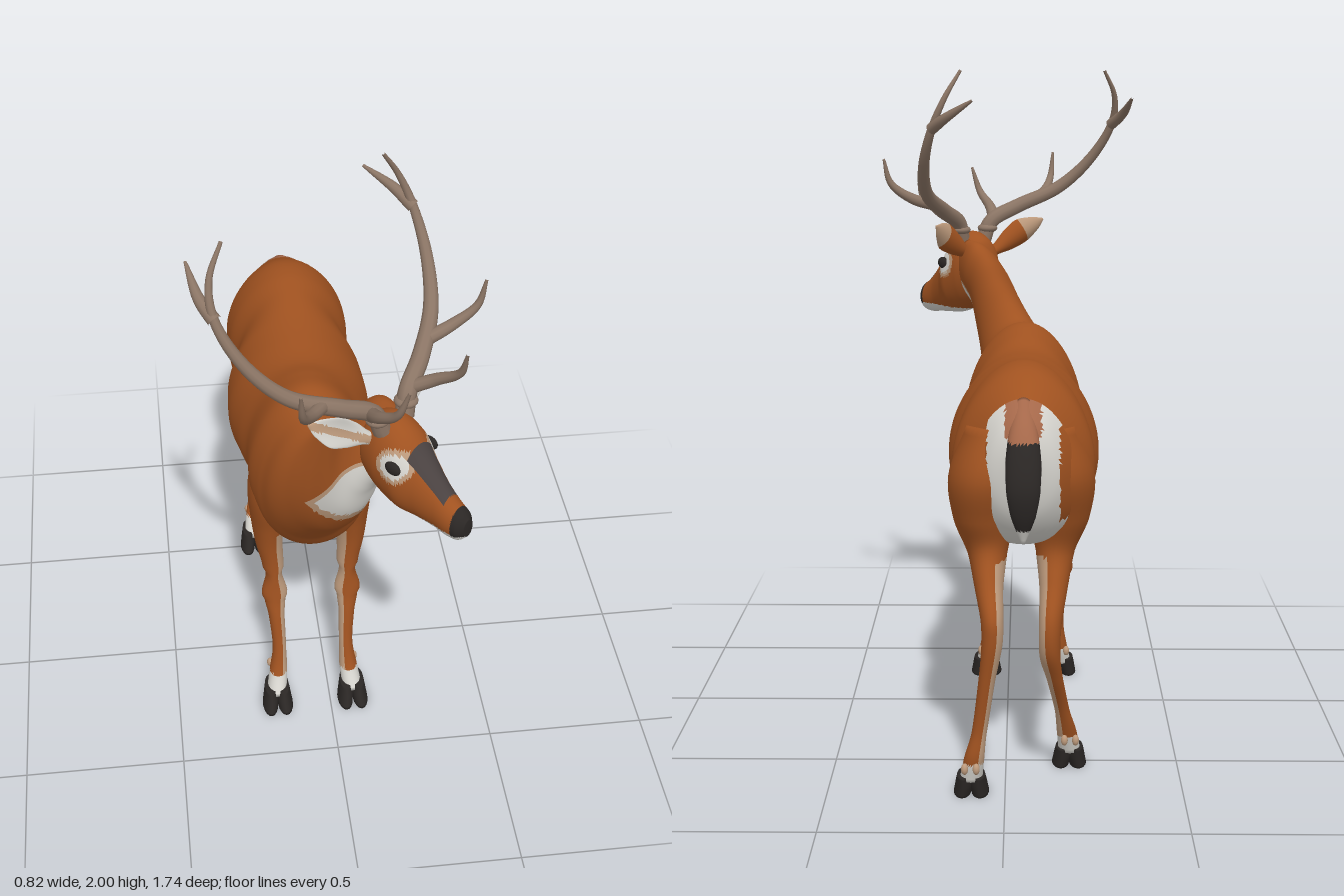
import * as THREE from 'three';

const flat = (name, color) => {
  const m = new THREE.MeshStandardMaterial({ color });
  m.name = name;
  return m;
};
const coat = flat('coat', 0xa05220), white = flat('white fur', 0xd6d4ce), black = flat('black', 0x2b2725),
  antler = flat('antler', 0x8b7565), tan = flat('tan fur', 0xbd9a7c), rosy = flat('rump fur', 0xa5684a),
  dark = flat('dark face', 0x4a4241);

const MID = -0.05; // the trunk's centre line in x

// Skin over elliptical sections [x, topZ, topY, bottomZ, bottomY, halfWidth, yaw].
// paint(x, y, z, side, up) picks the material of each small face.
function loft(name, rows, paint, { steps = 60, sides = 32, pear = 0 } = {}) {
  const curve = f => new THREE.CatmullRomCurve3(rows.map(f));
  const tops = curve(r => new THREE.Vector3(r[0], r[2], r[1]));
  const bottoms = curve(r => new THREE.Vector3(r[0], r[4], r[3]));
  const widths = curve(r => new THREE.Vector3(r[5], r[6] || 0, 0));
  const pos = [], buckets = new Map();
  const add = (a, b, c, side, up) => {
    const mid = k => (pos[a * 3 + k] + pos[b * 3 + k] + pos[c * 3 + k]) / 3;
    const m = paint.isMaterial ? paint : paint(mid(0), mid(1), mid(2), side, up);
    if (!buckets.has(m)) buckets.set(m, []);
    buckets.get(m).push(a, b, c);
  };
  for (let i = 0; i <= steps; i++) {
    const t = i / steps, top = tops.getPoint(t), bot = bottoms.getPoint(t), w = widths.getPoint(t);
    const c = top.clone().add(bot).multiplyScalar(0.5), v = top.clone().sub(c);
    for (let j = 0; j < sides; j++) {
      const a = j / sides * Math.PI * 2, s = w.x * Math.sin(a) * (1 - pear * Math.cos(a)), k = Math.cos(a);
      pos.push(c.x + v.x * k + s * Math.cos(w.y), c.y + v.y * k, c.z + v.z * k - s * Math.sin(w.y));
    }
  }
  const ends = [0, steps].map(i => {
    const r = rows[i ? rows.length - 1 : 0];
    pos.push(r[0], (r[2] + r[4]) / 2, (r[1] + r[3]) / 2);
    return pos.length / 3 - 1;
  });
  for (let j = 0; j < sides; j++) {
    const a = (j + 0.5) / sides * Math.PI * 2, s = Math.sin(a), u = Math.cos(a), n = (j + 1) % sides;
    for (let i = 0; i < steps; i++) {
      const p = i * sides, q = p + sides;
      add(p + j, q + j, p + n, s, u);
      add(q + j, q + n, p + n, s, u);
    }
    add(ends[0], j, n, s, u);
    add(ends[1], steps * sides + n, steps * sides + j, s, u);
  }
  const g = new THREE.BufferGeometry(), index = [], mats = [];
  for (const [m, list] of buckets) {
    g.addGroup(index.length, list.length, mats.length);
    mats.push(m);
    for (const v of list) index.push(v);
  }
  g.setAttribute('position', new THREE.Float32BufferAttribute(pos, 3));
  g.setIndex(index);
  g.computeVertexNormals();
  const mesh = new THREE.Mesh(g, mats.length > 1 ? mats : mats[0]);
  mesh.name = name;
  return mesh;
}

// Round tube through points, thinning from r0 to r1
function horn(name, pts, r0, r1) {
  const curve = new THREE.CatmullRomCurve3(pts.map(p => new THREE.Vector3(...p)));
  const n = pts.length * 7, g = new THREE.TubeGeometry(curve, n, 1, 10), p = g.attributes.position;
  const v = new THREE.Vector3();
  for (let i = 0; i < p.count; i++) {
    const t = Math.floor(i / 11) / n, c = curve.getPointAt(t);
    v.fromBufferAttribute(p, i).sub(c).multiplyScalar(r0 + (r1 - r0) * t ** 1.6).add(c);
    p.setXYZ(i, v.x, v.y, v.z);
  }
  const mesh = new THREE.Mesh(g, antler);
  mesh.name = name;
  return mesh;
}

const ball = (name, mat, at, size) => {
  const mesh = new THREE.Mesh(new THREE.SphereGeometry(1, 16, 12), mat);
  mesh.name = name;
  mesh.position.set(...at);
  mesh.scale.set(...size);
  return mesh;
};

// Trunk and neck in one skin, rump first; the neck turns to the left
function trunk() {
  const rows = [[-.80, 1.02, .93, .03], [-.765, 1.08, .80, .10], [-.68, 1.13, .71, .16], [-.58, 1.18, .69, .2],
    [-.49, 1.19, .70, .195], [-.40, 1.18, .685, .18], [-.28, 1.163, .64, .22], [-.18, 1.155, .643, .225],
    [-.05, 1.155, .66, .205], [.05, 1.185, .655, .185], [.15, 1.208, .65, .188]]
    .map(([z, top, bottom, w]) => [MID, z, top, z, bottom, w, 0]);
  rows.push([MID, .24, 1.187, .25, .67, .168, 0], [-.045, .30, 1.18, .325, .76, .145, .1],
    [-.03, .345, 1.19, .41, .855, .118, .2], [0, .39, 1.235, .51, .96, .1, .3],
    [.035, .425, 1.3, .58, 1.08, .088, .45], [.065, .455, 1.37, .6, 1.17, .08, .55],
    [.1, .495, 1.42, .61, 1.21, .072, .65], [.14, .56, 1.43, .65, 1.23, .05, .7]);
  return loft('trunkAndNeck', rows, (x, y, z, side, up) => {
    const off = Math.abs(x - MID);
    if (z < -.7 && off < .1) return off < .05 && y > 1.03 ? rosy : white;
    if (z < .3 && z > -.72 && y < .735 - Math.max(0, z - .1) * .25 - z * .07) return white;
    if (y > 1.04 && z > .4 && up < -.25) return y > 1.07 && up < -.42 ? white : tan;
    return coat;
  }, { steps: 130, sides: 64, pear: .12 });
}

// Leg sections [x, frontZ, frontY, backZ, backY, halfWidth] of the left side
const FORE = [[.06, .23, .98, .03, .98, .05], [.08, .24, .82, .02, .82, .062], [.083, .21, .69, .04, .67, .052],
  [.08, .195, .6, .08, .58, .043], [.07, .19, .5, .115, .5, .034], [.068, .2, .38, .14, .37, .034],
  [.065, .212, .32, .155, .31, .026], [.06, .235, .2, .185, .19, .022], [.066, .26, .11, .195, .1, .029],
  [.075, .3, .045, .215, .045, .032]];
const HIND = [[.03, -.47, 1.02, -.73, 1.04, .08], [.055, -.46, .87, -.775, .9, .105], [.06, -.5, .74, -.74, .78, .085],
  [.05, -.57, .64, -.715, .7, .055], [.045, -.66, .565, -.755, .62, .04], [.035, -.735, .5, -.825, .53, .031],
  [.035, -.757, .44, -.83, .47, .029], [.05, -.757, .34, -.815, .35, .023], [.07, -.75, .2, -.797, .2, .021],
  [.085, -.745, .12, -.80, .12, .028], [.095, -.70, .045, -.785, .05, .032]];
// The right hind leg steps forward
const HIND_STEP = [[-.47, 1.02, -.72, 1.04], [-.45, .87, -.74, .9], [-.47, .74, -.69, .77], [-.52, .65, -.66, .68],
  [-.6, .55, -.69, .6], [-.67, .45, -.745, .5], [-.665, .37, -.745, .41], [-.64, .3, -.70, .32],
  [-.58, .2, -.635, .21], [-.545, .12, -.60, .13], [-.49, .045, -.57, .05]]
  .map((s, i) => [HIND[i][0] - .01, ...s, HIND[i][5]]);

function leg(name, rows, s) {
  const group = new THREE.Group();
  group.name = name;
  const placed = rows.map(([x, ...rest]) => [s > 0 ? x : 2 * MID - x, ...rest]);
  group.add(loft(name + 'Limb', placed, (x, y, z, side) => {
    if (y < .105) return white;
    return y < .66 && side * s < -.45 ? tan : coat;
  }, { steps: 70, sides: 28 }));
  // Cloven hoof and dewclaws
  const [x, front, , back] = placed[placed.length - 1];
  for (const d of [-1, 1]) {
    const cx = x + d * .021;
    group.add(loft('hoof', [[cx, front + .002, .06, back - .004, .062, .018], [cx, front + .022, .03, back + .002, .03, .024],
      [cx + d * .004, front + .042, 0, back + .008, 0, .025]], black, { steps: 10, sides: 18 }));
    group.add(ball('dewclaw', tan, [x + d * .016, .1, back - .024], [.01, .016, .011]));
  }
  return group;
}

// Head, built facing forward and then turned to the left
function head() {
  const group = new THREE.Group();
  group.name = 'head';
  const rows = [[-.145, 1.38, 1.27, .035], [-.12, 1.43, 1.23, .065], [-.06, 1.455, 1.19, .083], [0, 1.43, 1.17, .085],
    [.06, 1.37, 1.165, .062], [.12, 1.31, 1.16, .046], [.165, 1.272, 1.155, .042], [.195, 1.255, 1.16, .037],
    [.215, 1.235, 1.18, .018]].map(([z, top, bottom, w]) => [0, z, top, z, bottom, w]);
  group.add(loft('skull', rows, (x, y, z, side, up) => {
    const eye = Math.hypot(y - 1.345, (z - .005) * .95);
    if (z > .182 && y > 1.185) return black;
    if (y < 1.188 && up < -.3) return white;
    if (z > .035 && z < .15 && up > .72) return dark;
    if (eye < .05 && Math.abs(x) > .03) return eye < .036 ? white : tan;
    return coat;
  }, { steps: 90, sides: 60 }));

  for (const s of [1, -1]) {
    const side = s > 0 ? 'left' : 'right';
    group.add(ball(side + 'Eye', black, [s * .077, 1.345, .008], [.012, .02, .026]));

    // Cupped ear, pale inside
    const ear = loft(side + 'Ear', [[0, .003, .2, -.003, .2, .003], [0, .006, .17, -.006, .17, .025],
      [0, .009, .11, -.011, .11, .045], [0, .013, .055, -.016, .055, .037], [0, .02, 0, -.02, 0, .02],
      [0, .018, -.03, -.018, -.03, .018]], (x, y, z, u, up) => up > 0 ? (Math.abs(x) < .012 ? tan : white) : (y > .12 ? tan : coat),
    { steps: 30, sides: 24 });
    const p = ear.geometry.attributes.position;
    for (let i = 0; i < p.count; i++) p.setZ(i, p.getZ(i) + 9 * p.getX(i) ** 2);
    ear.geometry.computeVertexNormals();
    ear.position.set(s * .068, 1.39, -.1);
    ear.rotation.set(-.15, s * .25, -s * 1.0);
    group.add(ear);

    // Antler beam and tines
    const branch = (name, pts, r0, r1) => group.add(horn(side + name, pts.map(([x, y, z]) => [s * x, y, z]), r0, r1));
    branch('Beam', [[.045, 1.42, -.06], [.07, 1.485, -.072], [.16, 1.535, -.106], [.285, 1.6, -.18], [.357, 1.7, -.262],
      [.382, 1.82, -.34], [.36, 1.91, -.375], [.304, 1.995, -.385]], .027, .005);
    branch('ForkTine', [[.382, 1.815, -.336], [.375, 1.85, -.4], [.337, 1.905, -.487]], .019, .004);
    branch('OuterTine', [[.2, 1.555, -.13], [.285, 1.58, -.1], [.345, 1.63, -.065], [.365, 1.71, -.053]], .02, .004);
    branch('BrowTine', [[.08, 1.49, -.075], [.115, 1.53, -.01], [.125, 1.58, .06], [.115, 1.66, .09]], .02, .004);
    group.add(ball(side + 'Burr', antler, [s * .058, 1.462, -.067], [.034, .017, .034]));
  }
  group.position.set(.165, 0, .665);
  group.rotation.y = .698;
  return group;
}

// Hanging tail, tip first: dark outside, white beneath
function tail() {
  const rows = [[-.825, .75, -.815, .752, .006], [-.862, .83, -.825, .825, .034], [-.872, .9, -.82, .885, .046],
    [-.848, .98, -.80, .93, .049], [-.79, 1.067, -.77, .98, .042], [-.70, 1.125, -.71, 1.04, .03]];
  return loft('tail', rows.map(r => [MID, ...r]), (x, y, z, side, up) => {
    if (up < .15 || y < .785) return white;
    return y < 1.02 ? black : rosy;
  }, { steps: 50, sides: 32 });
}

export function createModel() {
  const model = new THREE.Group();
  model.name = 'deer';
  model.add(trunk(), head(), tail(),
    leg('leftForeleg', FORE, 1), leg('rightForeleg', FORE, -1),
    leg('leftHindLeg', HIND, 1), leg('rightHindLeg', HIND_STEP, -1));
  return model;
}
